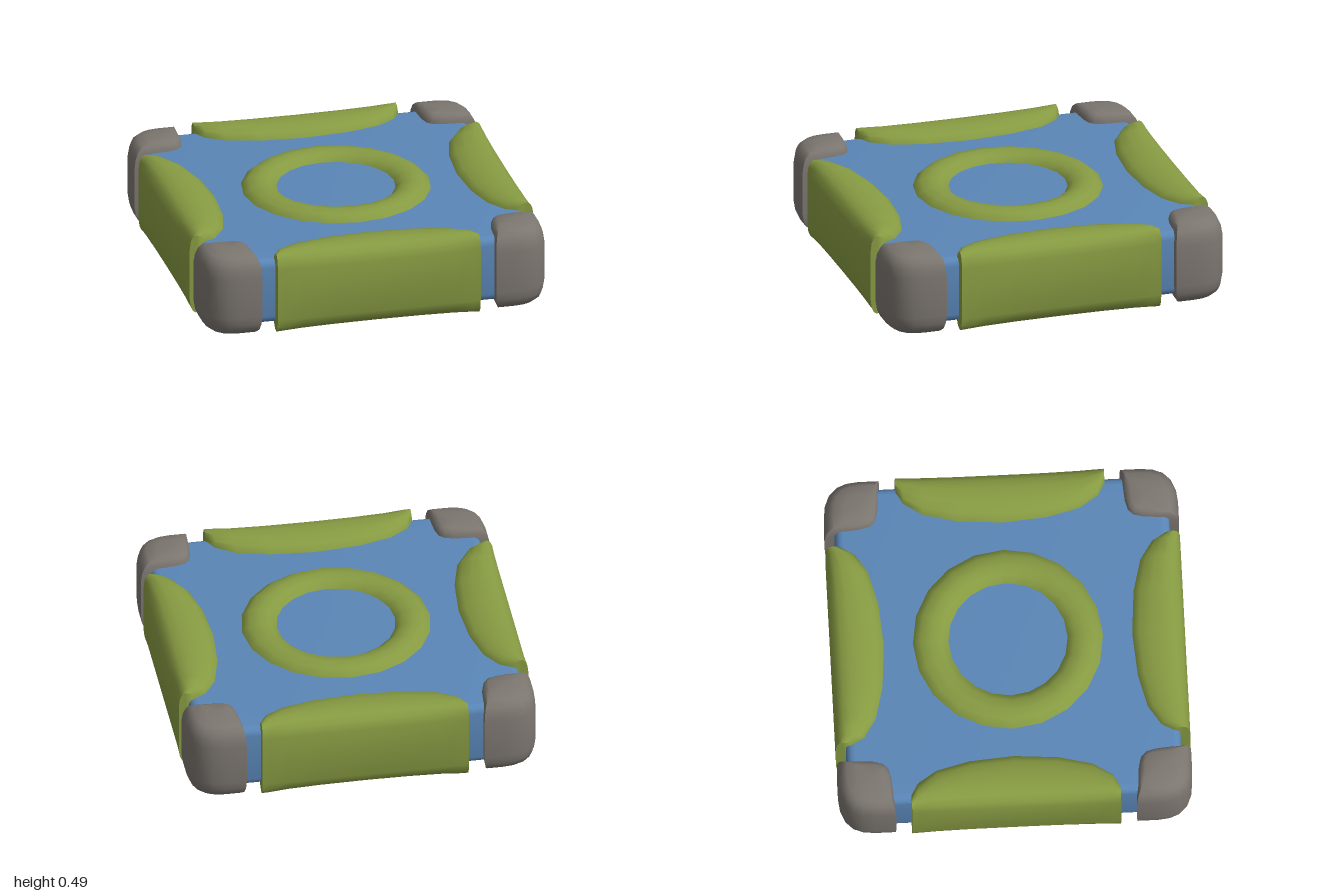
import * as THREE from 'three';
import { toCreasedNormals } from 'three/addons/utils/BufferGeometryUtils.js';

const MID = 0.255; // height of the horizontal symmetry plane

// Skin a list of closed cross-sections and cap both ends
function loft(rings, crease) {
  const n = rings[0].length, pos = [], index = [];
  rings.forEach((r) => r.forEach((p) => pos.push(...p)));
  for (let i = 0; i < rings.length - 1; i++) {
    for (let j = 0; j < n; j++) {
      const k = (j + 1) % n;
      const a = i * n + j, b = i * n + k, c = a + n, d = b + n;
      index.push(a, b, c, b, d, c);
    }
  }
  [0, rings.length - 1].forEach((i) => {
    const centre = pos.length / 3;
    for (let q = 0; q < 3; q++) pos.push(rings[i].reduce((s, p) => s + p[q], 0) / n);
    for (let j = 0; j < n; j++) {
      const a = i * n + j, b = i * n + ((j + 1) % n);
      if (i === 0) index.push(centre, b, a);
      else index.push(centre, a, b);
    }
  });
  const g = new THREE.BufferGeometry();
  g.setAttribute('position', new THREE.Float32BufferAttribute(pos, 3));
  g.setIndex(index);
  return toCreasedNormals(g, crease);
}

// Slab with rounded corners and softened rims
function slabGeometry() {
  const bevel = 0.045, h = 0.945 - bevel, r = 0.16;
  const s = new THREE.Shape();
  s.moveTo(-h + r, -h);
  s.lineTo(h - r, -h).absarc(h - r, -h + r, r, -Math.PI / 2, 0);
  s.lineTo(h, h - r).absarc(h - r, h - r, r, 0, Math.PI / 2);
  s.lineTo(-h + r, h).absarc(-h + r, h - r, r, Math.PI / 2, Math.PI);
  s.lineTo(-h, -h + r).absarc(-h + r, -h + r, r, Math.PI, Math.PI * 1.5);
  const depth = 0.386 - 2 * bevel;
  const g = new THREE.ExtrudeGeometry(s, {
    depth, bevelSize: bevel, bevelThickness: bevel, bevelSegments: 4, curveSegments: 8,
  });
  g.translate(0, 0, -depth / 2).rotateX(-Math.PI / 2);
  return toCreasedNormals(g, 0.7);
}

// Padded side bumper: deep in the middle, shallow at its ends
function bumperGeometry() {
  const half = [[0.59, 0.1], [0.55, 0.17], [0.44, 0.245], [0.25, 0.295], [0, 0.315]];
  const stations = [
    ...half.map(([x, d]) => [-x, d]),
    ...half.slice(0, -1).reverse(),
  ];
  const top = [[1, 0.13], [0.96, 0.19], [0.82, 0.222], [0.6, 0.24], [0.35, 0.245],
    [0.18, 0.232], [0.06, 0.205], [0, 0.155]];
  const section = [...top, ...top.slice().reverse().map(([d, y]) => [d, -y])];
  return loft(stations.map(([x, depth]) => {
    const k = Math.abs(x) > 0.58 ? 0.965 : 1;
    return section.map(([d, y]) => [x, y * k, 1 - d * depth]);
  }), 0.9);
}

// Corner guard: plan outline shrinking towards top and bottom
function cornerGeometry() {
  const outline = [[0.68, 1], [0.8, 1], [0.87, 0.992], [0.925, 0.97], [0.97, 0.925],
    [0.992, 0.87], [1, 0.8], [1, 0.68], [0.88, 0.685], [0.8, 0.692], [0.74, 0.708],
    [0.708, 0.74], [0.692, 0.8], [0.685, 0.88]];
  const upper = [[0.12, 1], [0.17, 0.965], [0.208, 0.89], [0.232, 0.76], [0.245, 0.5]];
  const levels = [...upper.slice().reverse().map(([y, s]) => [-y, s]), ...upper];
  const c = 0.78;
  return loft(levels.map(([y, s]) =>
    outline.map(([x, z]) => [c + (x - c) * s, y, c + (z - c) * s])), 0.9);
}

export function createModel() {
  const model = new THREE.Group();
  model.name = 'squarePanel';
  const material = (name, color) => {
    const m = new THREE.MeshStandardMaterial({ color });
    m.name = name;
    return m;
  };
  const blue = material('blue', 0x5a86b7);
  const green = material('green', 0x879b42);
  const grey = material('grey', 0x7c7670);

  const add = (name, geometry, mat, y = MID) => {
    const mesh = new THREE.Mesh(geometry, mat);
    mesh.name = name;
    mesh.position.y = y;
    model.add(mesh);
    return mesh;
  };

  add('slab', slabGeometry(), blue);

  // Four bumpers and four corner guards
  const bumper = bumperGeometry(), corner = cornerGeometry();
  ['front', 'left', 'back', 'right'].forEach((side, i) => {
    add(side + 'Bumper', bumper, green).rotation.y = i * Math.PI / 2;
  });
  ['frontLeft', 'backLeft', 'backRight', 'frontRight'].forEach((side, i) => {
    add(side + 'Corner', corner, grey).rotation.y = i * Math.PI / 2;
  });

  // Flattened rings half sunk into the top and bottom faces
  const ring = new THREE.TorusGeometry(0.437, 0.115, 12, 20);
  ring.rotateX(Math.PI / 2).scale(1, 0.78, 1);
  add('topRing', ring, green, MID + 0.15);
  add('bottomRing', ring, green, MID - 0.15);

  return model;
}
